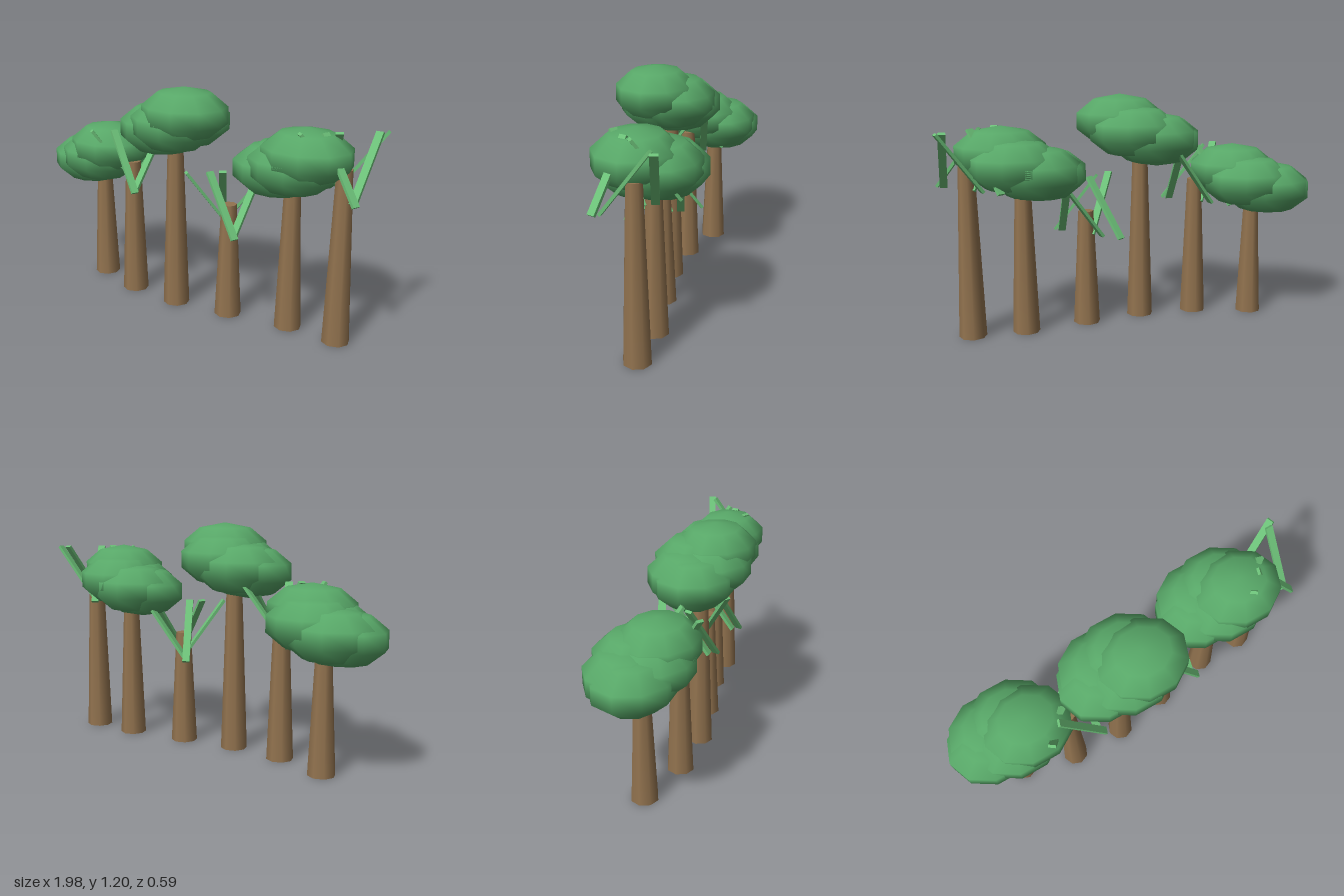
import * as THREE from 'three';

const bark = new THREE.MeshStandardMaterial({ color: 0x92734f });
const crown = new THREE.MeshStandardMaterial({ color: 0x58a868 });
const frond = new THREE.MeshStandardMaterial({ color: 0x6cc078 });

function addMesh(parent, name, geometry, material, x, y, z) {
  const mesh = new THREE.Mesh(geometry, material);
  mesh.name = name;
  mesh.position.set(x, y, z);
  parent.add(mesh);
  return mesh;
}

// Tapered trunk standing on the ground
function makeTree(name, x, z, height) {
  const tree = new THREE.Group();
  tree.name = name;
  tree.position.set(x, 0, z);
  addMesh(tree, 'trunk', new THREE.CylinderGeometry(0.04, 0.07, height, 8), bark, 0, height / 2, 0);
  return tree;
}

// Overlapping flattened blobs climbing towards +x: offsets from the trunk top
const blobs = [
  [0.10, 0.16, 0.045],
  [0.025, 0.095, 0.045],
  [0.045, 0.11, -0.04],
  [-0.06, 0.07, -0.04],
  [-0.092, 0.055, 0.0],
];

function makeRoundTree(x, z, height) {
  const tree = makeTree('roundTree', x, z, height);
  const blob = new THREE.SphereGeometry(1, 10, 5);
  blob.scale(0.24, 0.138, 0.21);
  for (const [dx, dy, dz] of blobs) addMesh(tree, 'crownBlob', blob, crown, dx, height + dy, dz);
  return tree;
}

// Five slanted strips set around the trunk top
function makeFrondTree(x, z, height) {
  const tree = makeTree('frondTree', x, z, height);
  const strip = new THREE.BoxGeometry(0.038, 0.37, 0.015);
  for (let i = 0; i < 5; i++) {
    const a = (i * Math.PI * 2) / 5;
    const leaf = addMesh(tree, 'frond', strip, frond, 0.11 * Math.cos(a), height + 0.025, 0.11 * Math.sin(a));
    leaf.rotation.set(-0.65, a, 0, 'YXZ');
  }
  return tree;
}

export function createModel() {
  const group = new THREE.Group();
  group.name = 'treeRow';
  group.add(
    makeRoundTree(-0.68, -0.015, 0.63),
    makeFrondTree(-0.38, 0.06, 0.74),
    makeRoundTree(-0.078, 0.06, 0.9),
    makeFrondTree(0.227, 0, 0.605),
    makeRoundTree(0.557, -0.07, 0.765),
    makeFrondTree(0.83, -0.08, 0.878),
  );
  return group;
}
